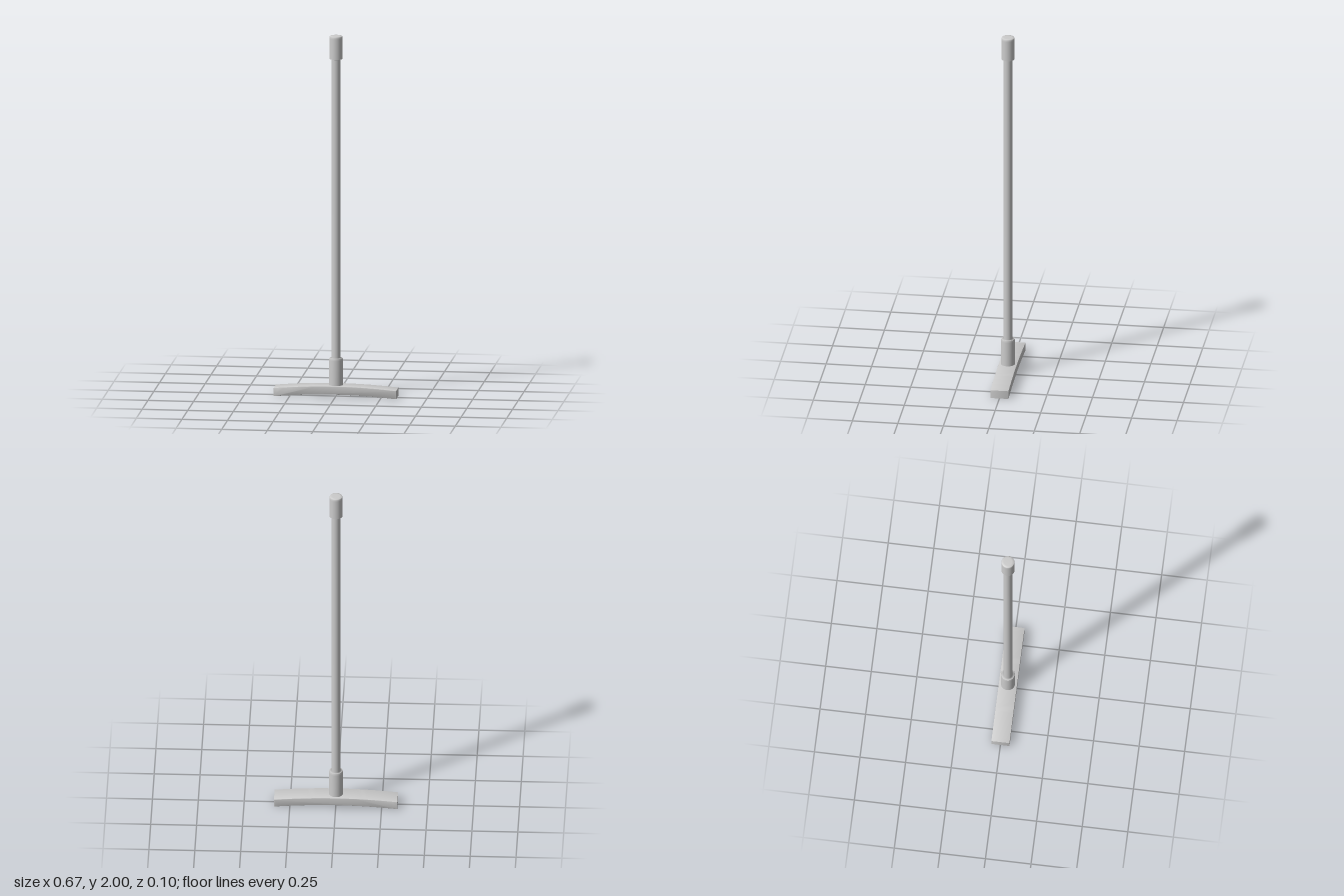
import * as THREE from 'three';
import { toCreasedNormals } from 'three/addons/utils/BufferGeometryUtils.js';

const material = new THREE.MeshStandardMaterial({ color: 0xcccccc });

// Smooth turned part from [radius, height] pairs, listed bottom to top
function turned(name, profile) {
  const points = profile.map(([r, y]) => new THREE.Vector2(r, y));
  const mesh = new THREE.Mesh(new THREE.LatheGeometry(points, 40), material);
  mesh.name = name;
  return mesh;
}

// Gently arched bar with slightly eased edges
function archedBar() {
  const halfLength = 0.336, halfWidth = 0.05, thickness = 0.046, rise = 0.017;
  const bevel = 0.002, steps = 24;
  const x = halfLength - bevel;
  const arch = (t) => rise * (1 - t * t);
  const outline = [];
  for (let i = 0; i <= steps; i++) {
    const t = (i / steps) * 2 - 1;
    outline.push(new THREE.Vector2(t * x, arch(t) + bevel));
  }
  for (let i = steps; i >= 0; i--) {
    const t = (i / steps) * 2 - 1;
    outline.push(new THREE.Vector2(t * x, arch(t) + thickness - bevel));
  }
  const depth = 2 * (halfWidth - bevel);
  const geometry = new THREE.ExtrudeGeometry(new THREE.Shape(outline), {
    depth, bevelEnabled: true, bevelSize: bevel, bevelThickness: bevel, bevelSegments: 2,
  });
  geometry.translate(0, 0, -depth / 2);
  const mesh = new THREE.Mesh(toCreasedNormals(geometry, 0.5), material);
  mesh.name = 'archedBar';
  return mesh;
}

export function createModel() {
  const model = new THREE.Group();
  model.name = 'poleWithArchedBar';

  model.add(archedBar());

  // Socket joining the pole to the bar
  model.add(turned('socket', [[0.039, 0.03], [0.039, 0.2], [0.036, 0.212]]));

  // Pole, flaring into the shoulders of the socket and the end cap
  model.add(turned('pole', [[0.036, 0.212], [0.024, 0.214], [0.024, 1.868], [0.036, 1.872]]));

  // End cap with a softened rim
  model.add(turned('endCap', [
    [0.036, 1.872], [0.036, 1.985], [0.0355, 1.994], [0.033, 1.999], [0.022, 2], [0, 2],
  ]));

  return model;
}
